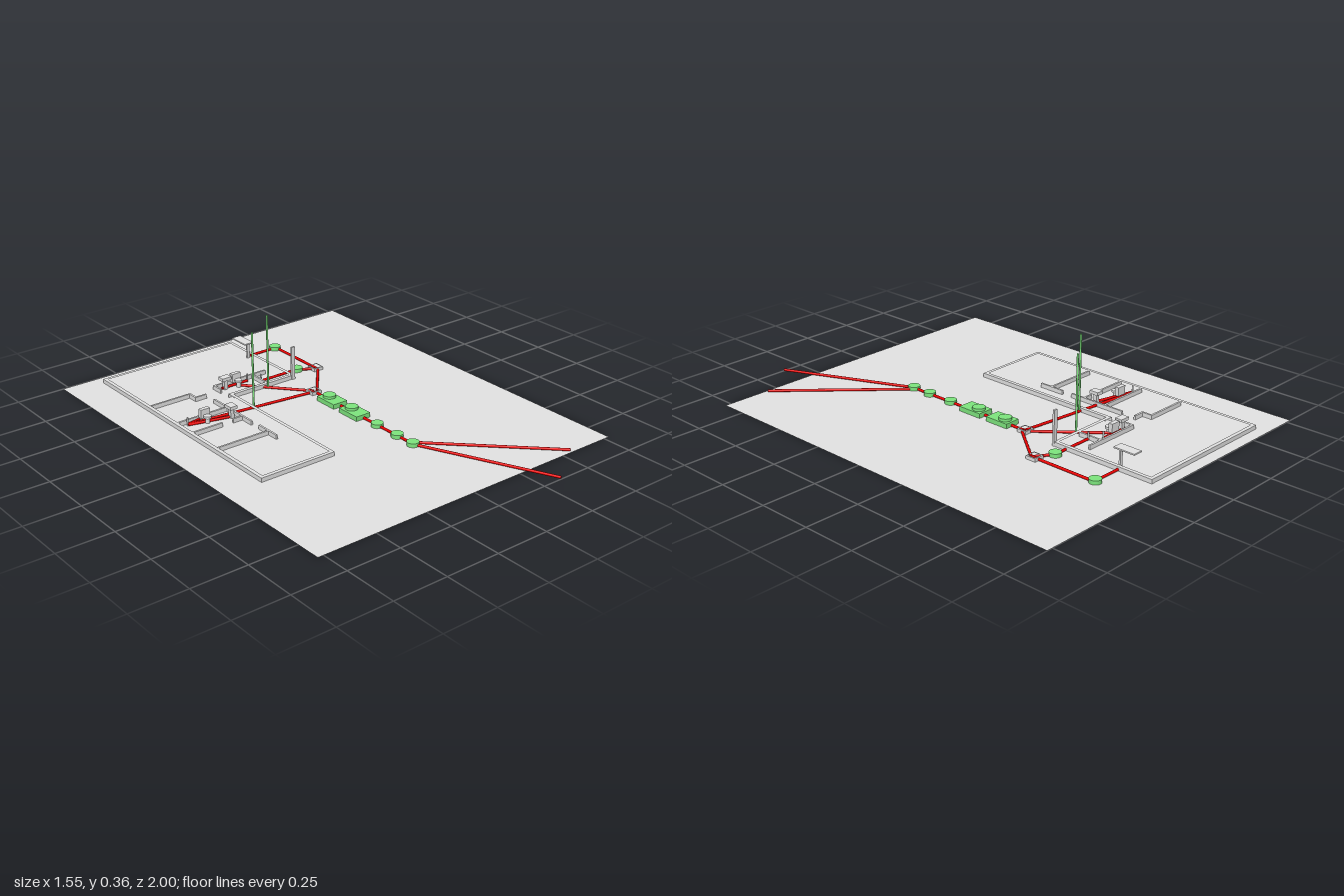
import * as THREE from 'three';

export function createModel() {
  const model = new THREE.Group();
  const layout = new THREE.Group();
  layout.name = 'buildingAndDrains';
  layout.position.set(0.004, 0, 0.005);
  model.add(layout);

  const material = (name, color, side = THREE.FrontSide) => {
    const m = new THREE.MeshStandardMaterial({ color, side });
    m.name = name;
    return m;
  };
  const ground = material('groundGrey', 0xe5e5e5, THREE.DoubleSide);
  const grey = material('wallGrey', 0xe4e4e4);
  const green = material('tankGreen', 0x80e880);
  const red = material('pipeRed', 0xe80000);
  const base = 0.0005;

  const add = (name, geometry, mat, x = 0, y = 0, z = 0, parent = layout) => {
    const mesh = new THREE.Mesh(geometry, mat);
    mesh.name = name;
    mesh.position.set(x, y, z);
    parent.add(mesh);
    return mesh;
  };
  // box given by its limits on each axis
  const box = (name, mat, x0, x1, y0, y1, z0, z1) =>
    add(name, new THREE.BoxGeometry(x1 - x0, y1 - y0, z1 - z0), mat,
      (x0 + x1) / 2, (y0 + y1) / 2, (z0 + z1) / 2);
  const disc = (name, mat, x, z, r, y0, y1, sides = 24) =>
    add(name, new THREE.CylinderGeometry(r, r, y1 - y0, sides), mat, x, (y0 + y1) / 2, z);
  // outline with a hole, extruded upward; points are [x, z]
  const frame = (name, outer, inner, height) => {
    const toPoints = (list) => list.map(([x, z]) => new THREE.Vector2(x, -z));
    const shape = new THREE.Shape(toPoints(outer));
    shape.holes.push(new THREE.Path(toPoints(inner)));
    const g = new THREE.ExtrudeGeometry(shape, { depth: height, bevelEnabled: false });
    add(name, g.rotateX(-Math.PI / 2), grey, 0, base, 0);
  };

  // ground sheet
  add('ground', new THREE.PlaneGeometry(1.554, 1.866).rotateX(-Math.PI / 2), ground, 0, base, -0.067, model);

  // L-shaped outer wall
  const t = 0.017;
  frame('outerWall',
    [[-0.605, -0.95], [0.104, -0.95], [0.104, -0.445], [-0.235, -0.445], [-0.235, 0.275], [-0.605, 0.275]],
    [[-0.605 + t, -0.95 + t], [0.104 - t, -0.95 + t], [0.104 - t, -0.445 - t],
      [-0.235 - t, -0.445 - t], [-0.235 - t, 0.275 - t], [-0.605 + t, 0.275 - t]], 0.019);

  // room partitions: x0, z0, x1, z1 along the centre line
  const h = 0.0045;
  for (const [x0, z0, x1, z1] of [
    [-0.585, -0.57, -0.385, -0.57], [-0.385, -0.57, -0.385, -0.522], [-0.38, -0.522, -0.335, -0.522],
    [-0.585, -0.355, -0.335, -0.355], [-0.332, -0.45, -0.332, -0.175], [-0.378, -0.24, -0.335, -0.24],
    [-0.585, -0.237, -0.444, -0.237], [-0.585, -0.054, -0.334, -0.054], [-0.329, -0.115, -0.329, 0],
    [-0.25, -0.574, 0.026, -0.574], [-0.044, -0.574, -0.044, -0.465], [-0.25, -0.574, -0.25, -0.525],
  ]) box('partition', grey, x0 - h, x1 + h, base, 0.02, z0 - h, z1 + h);

  // toilets: pedestal, round bowl and cistern
  for (const [x, z] of [[-0.147, -0.532], [-0.467, -0.307]]) {
    disc('toiletPedestal', grey, x, z, 0.01, base, 0.025);
    disc('toiletBowl', grey, x, z, 0.017, 0.025, 0.035);
    box('cistern', grey, x - 0.023, x + 0.023, 0.02, 0.06, z - 0.035, z - 0.015);
  }
  // wash basins on pedestals
  for (const [x, z, w, d] of [[-0.208, -0.55, 0.048, 0.034], [-0.357, -0.288, 0.036, 0.045]]) {
    box('basin', grey, x - w / 2, x + w / 2, 0.045, 0.06, z - d / 2, z + d / 2);
    box('basinPedestal', grey, x - 0.009, x + 0.009, base, 0.045, z - 0.009, z + 0.009);
  }
  // short risers
  for (const [x, z] of [[-0.549, -0.338], [-0.084, -0.553], [-0.036, -0.513]])
    disc('riser', grey, x, z, 0.004, base, 0.038);

  // table beside the back wall
  box('tableTop', grey, 0.041, 0.088, 0.082, 0.088, -0.848, -0.744);
  box('tableLeg', grey, 0.072, 0.086, base, 0.082, -0.779, -0.771);
  // tall slab at the wall corner
  box('tallSlab', grey, 0.087, 0.106, base, 0.16, -0.45, -0.441);

  // open inspection chambers
  for (const [x, z] of [[0.078, -0.267], [0.246, -0.47]]) {
    const ring = (r) => [[x - r, z - r], [x + r, z - r], [x + r, z + r], [x - r, z + r]];
    frame('inspectionChamber', ring(0.025), ring(0.018), 0.015);
  }

  // vent poles
  disc('ventPole', green, -0.229, -0.3, 0.0045, base, 0.36);
  disc('ventPole', green, -0.054, -0.432, 0.0045, base, 0.356);

  // tanks with round lids
  for (const [z0, z1, lid] of [[-0.192, -0.074, -0.153], [-0.036, 0.084, 0.002]]) {
    box('tank', green, 0.038, 0.114, base, 0.022, z0, z1);
    disc('tankLid', green, 0.078, lid, 0.029, 0.022, 0.034);
  }
  // round manholes
  for (const [x, z] of [[0.08, 0.172], [0.08, 0.302], [0.08, 0.402], [0.167, -0.511], [0.241, -0.781]])
    disc('manhole', green, x, z, 0.027, base, 0.018);

  // drain pipes: x0, z0, x1, z1
  const r = 0.006;
  for (const [x0, z0, x1, z1] of [
    [0.08, -0.26, 0.08, 0.41], [0.08, 0.41, 0.343, 0.992], [0.098, 0.4, 0.551, 0.849],
    [0.078, -0.265, -0.549, -0.338], [-0.549, -0.333, -0.367, -0.288], [-0.549, -0.338, -0.484, -0.348],
    [0.083, -0.273, -0.149, -0.543], [0.098, -0.268, 0.251, -0.458], [0.248, -0.453, 0.248, -0.781],
    [0.243, -0.781, 0.098, -0.781], [0.248, -0.458, 0.168, -0.511], [0.168, -0.511, -0.038, -0.511],
    [-0.224, -0.553, -0.084, -0.553],
  ]) {
    const dx = x1 - x0, dz = z1 - z0;
    const g = new THREE.CylinderGeometry(r, r, Math.hypot(dx, dz), 24).rotateX(Math.PI / 2);
    add('drainPipe', g, red, (x0 + x1) / 2, r, (z0 + z1) / 2).rotation.y = Math.atan2(dx, dz);
  }
  return model;
}
